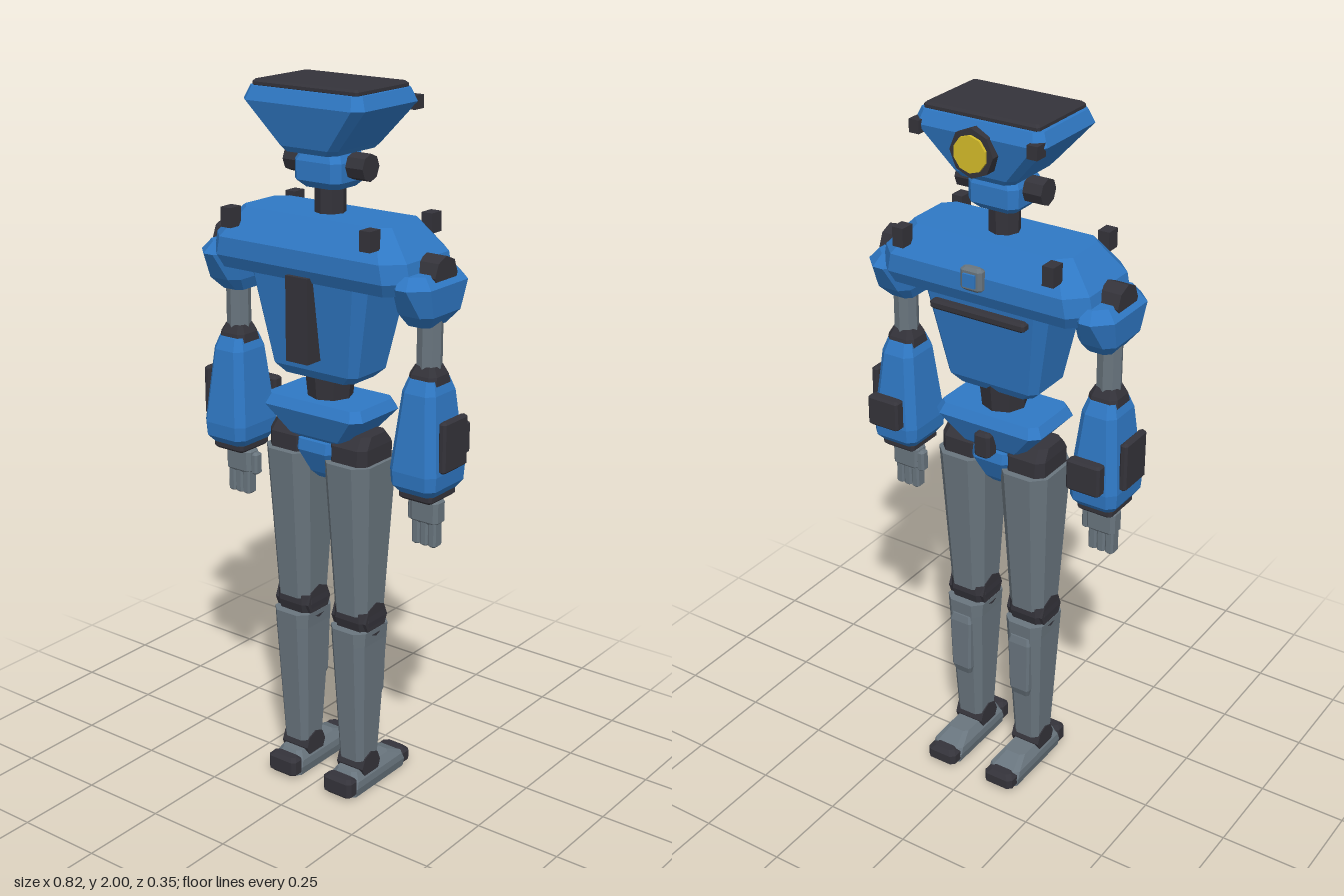
import * as THREE from 'three';

const mat = (name, color) => {
  const m = new THREE.MeshStandardMaterial({ color });
  m.name = name;
  m.flatShading = true;
  return m;
};

// Stacked octagonal sections, each [y, halfWidth, halfDepth, cornerCut, cx, cz]
function loft(sections) {
  const rings = sections.map(([y, a, b, c = 0.02, cx = 0, cz = 0]) =>
    [[a, b - c], [a, -b + c], [a - c, -b], [-a + c, -b], [-a, -b + c], [-a, b - c], [-a + c, b], [a - c, b]]
      .map(([x, z]) => [cx + x, y, cz + z]));
  const out = [];
  const n = 8;
  for (let r = 0; r < rings.length - 1; r++) {
    for (let i = 0; i < n; i++) {
      const j = (i + 1) % n, lo = rings[r], hi = rings[r + 1];
      out.push(...lo[i], ...lo[j], ...hi[j], ...lo[i], ...hi[j], ...hi[i]);
    }
  }
  const bottom = rings[0], top = rings[rings.length - 1];
  for (let i = 1; i < n - 1; i++) {
    out.push(...top[0], ...top[i], ...top[i + 1], ...bottom[0], ...bottom[i + 1], ...bottom[i]);
  }
  const g = new THREE.BufferGeometry();
  g.setAttribute('position', new THREE.Float32BufferAttribute(out, 3));
  g.computeVertexNormals();
  return g;
}

// Box with bevelled edges
const bevelBox = (w, h, d, b) => loft([
  [-h / 2, w / 2 - b, d / 2 - b, b], [-h / 2 + b, w / 2, d / 2, b],
  [h / 2 - b, w / 2, d / 2, b], [h / 2, w / 2 - b, d / 2 - b, b]]);

// Faceted drum lying along x or z
function drum(radius, length, axis, sides = 6) {
  const g = new THREE.CylinderGeometry(radius, radius, length, sides);
  return axis === 'x' ? g.rotateZ(Math.PI / 2) : g.rotateX(Math.PI / 2);
}

export function createModel() {
  const blue = mat('blue armour', 0x2f78c4);
  const dark = mat('dark joints', 0x34333a);
  const grey = mat('grey limbs', 0x69757e);
  const yellow = mat('yellow lens', 0xd4bb2a);

  const model = new THREE.Group();
  model.name = 'robot';
  const C = 0.02; // depth of the body's middle line
  let parent = model;
  const add = (name, geometry, material, x = 0, y = 0, z = 0) => {
    const m = new THREE.Mesh(geometry, material);
    m.name = name;
    m.position.set(x, y, z);
    parent.add(m);
    return m;
  };
  const group = (name) => {
    parent = new THREE.Group();
    parent.name = name;
    model.add(parent);
  };

  // Head
  group('head');
  add('headShell', loft([[1.825, 0.082, 0.1, 0.02, 0, C], [1.84, 0.095, 0.11, 0.02, 0, C],
    [1.95, 0.193, 0.137, 0.025, 0, C], [1.985, 0.178, 0.122, 0.02, 0, C]]), blue);
  add('headTopPlate', bevelBox(0.336, 0.02, 0.224, 0.006), dark, 0, 1.99, C);
  add('lensHousing', drum(0.064, 0.08, 'z', 8), dark, 0, 1.91, -0.09);
  add('lens', drum(0.048, 0.01, 'z', 10), yellow, 0, 1.91, -0.133);
  add('jaw', loft([[1.73, 0.055, 0.05, 0.015, 0, C], [1.75, 0.075, 0.072, 0.02, 0, C],
    [1.80, 0.075, 0.072, 0.02, 0, C], [1.828, 0.06, 0.06, 0.02, 0, C]]), blue);
  for (const s of [1, -1]) {
    add('earDrum', drum(0.036, 0.055, 'x', 8), dark, s * 0.102, 1.79, C);
    add('headSensor', new THREE.BoxGeometry(0.03, 0.035, 0.04), dark, s * 0.172, 1.945, -0.107);
  }
  add('neck', new THREE.CylinderGeometry(0.042, 0.042, 0.1, 8), dark, 0, 1.695, C);

  // Torso
  group('torso');
  add('shoulderYoke', loft([[1.5, 0.3, 0.125, 0.04, 0, C], [1.535, 0.32, 0.143, 0.05, 0, C],
    [1.585, 0.31, 0.143, 0.05, 0, C], [1.662, 0.24, 0.09, 0.03, 0, C]]), blue);
  add('chest', loft([[1.225, 0.115, 0.065, 0.02, 0, 0.025], [1.25, 0.142, 0.08, 0.02, 0, 0.025],
    [1.51, 0.193, 0.12, 0.03, 0, 0.022]]), blue);
  add('frontPanel', new THREE.BoxGeometry(0.072, 0.23, 0.055), dark, 0, 1.4, 0.137);
  add('backVent', bevelBox(0.29, 0.025, 0.03, 0.006), dark, 0, 1.47, -0.102);
  add('backClasp', bevelBox(0.065, 0.065, 0.03, 0.008), grey, 0, 1.58, -0.127);
  add('claspFace', new THREE.BoxGeometry(0.036, 0.036, 0.008), blue, 0, 1.58, -0.144);
  for (const s of [1, -1]) {
    for (const z of [-0.114, 0.154]) {
      add('yokeClip', new THREE.BoxGeometry(0.033, 0.053, 0.043), dark, s * 0.226, 1.642, z);
    }
  }
  add('waist', new THREE.CylinderGeometry(0.07, 0.06, 0.1, 8), dark, 0, 1.195, C);

  // Pelvis
  group('pelvis');
  add('pelvisShell', loft([[1.045, 0.08, 0.06, 0.02, 0, C], [1.06, 0.1, 0.075, 0.02, 0, C],
    [1.135, 0.167, 0.105, 0.025, 0, C], [1.163, 0.152, 0.09, 0.02, 0, C]]), blue);
  add('crotch', loft([[0.937, 0.02, 0.04, 0.01, 0, C], [0.955, 0.035, 0.055, 0.01, 0, C],
    [1.02, 0.06, 0.085, 0.015, 0, C], [1.05, 0.06, 0.08, 0.015, 0, C]]), blue);
  add('backLatch', bevelBox(0.05, 0.075, 0.045, 0.008), dark, 0, 1.08, -0.075);

  for (const s of [1, -1]) {
    const side = s > 0 ? 'left' : 'right';

    // Arm
    group(side + 'Arm');
    const A = s * 0.32;
    add('shoulderPad', loft([[1.415, 0.036, 0.05, 0.015, s * 0.308, C], [1.45, 0.056, 0.085, 0.025, s * 0.315, C],
      [1.525, 0.061, 0.127, 0.045, s * 0.316, C], [1.555, 0.045, 0.1, 0.03, s * 0.306, C]]), blue);
    add('shoulderDisc', drum(0.05, 0.06, 'x', 8), dark, s * 0.336, 1.548, C);
    add('upperArm', new THREE.CylinderGeometry(0.034, 0.034, 0.17, 8), grey, A, 1.36, C);
    add('elbow', loft([[1.25, 0.046, 0.05, 0.015, A, C], [1.285, 0.042, 0.042, 0.015, A, C],
      [1.308, 0.03, 0.03, 0.01, A, C]]), dark);
    add('forearm', loft([[0.968, 0.055, 0.065, 0.015, A, C], [0.99, 0.07, 0.085, 0.02, A, C],
      [1.03, 0.073, 0.088, 0.022, A, C], [1.24, 0.052, 0.065, 0.02, A, C], [1.275, 0.04, 0.05, 0.015, A, C]]), blue);
    add('outerPlate', bevelBox(0.022, 0.14, 0.108, 0.006), dark, s * 0.398, 1.108, C);
    add('backPlate', bevelBox(0.1, 0.09, 0.035, 0.006), dark, A, 1.087, -0.089);
    add('wrist', bevelBox(0.106, 0.028, 0.12, 0.007), dark, A, 0.96, C);
    add('palm', bevelBox(0.088, 0.075, 0.05, 0.01), grey, A, 0.907, 0.016);
    for (const i of [-1, 0, 1]) {
      add('finger', bevelBox(0.025, 0.075, 0.036, 0.005), grey, A + i * 0.026, 0.845, 0.018);
    }
    add('thumb', bevelBox(0.024, 0.065, 0.03, 0.006), grey, s * 0.273, 0.9, 0.012);

    // Leg
    group(side + 'Leg');
    const L = s * 0.1;
    add('hip', loft([[0.99, 0.062, 0.075, 0.02, s * 0.103, C], [1.05, 0.062, 0.075, 0.02, s * 0.103, C],
      [1.082, 0.055, 0.05, 0.02, s * 0.105, C]]), dark);
    add('thigh', loft([[0.56, 0.056, 0.062, 0.025, L, C], [1.005, 0.076, 0.095, 0.035, L, C]]), grey);
    add('knee', drum(0.05, 0.118, 'x', 8), dark, L, 0.54, C);
    add('kneeBand', loft([[0.51, 0.058, 0.05, 0.02, L, C], [0.54, 0.06, 0.058, 0.02, L, C],
      [0.575, 0.058, 0.055, 0.02, L, C]]), dark);
    add('shin', loft([[0.1, 0.042, 0.047, 0.016, L, C], [0.47, 0.057, 0.073, 0.022, L, C],
      [0.513, 0.06, 0.076, 0.025, L, C]]), grey);
    add('calfPlate', loft([[0.265, 0.025, 0.012, 0.005, L, -0.038], [0.29, 0.032, 0.02, 0.006, L, -0.04],
      [0.45, 0.036, 0.02, 0.006, L, -0.043], [0.472, 0.03, 0.013, 0.005, L, -0.045]]), grey);
    add('ankle', drum(0.042, 0.092, 'x', 8), dark, L, 0.078, C);
    add('foot', loft([[0.004, 0.046, 0.125, 0.012, L, -0.022], [0.03, 0.051, 0.128, 0.015, L, -0.022],
      [0.05, 0.049, 0.12, 0.015, L, -0.02], [0.074, 0.034, 0.085, 0.012, L, 0]]), grey);
    add('toeCap', bevelBox(0.094, 0.052, 0.05, 0.012), dark, L, 0.028, -0.149);
    add('heelCap', bevelBox(0.098, 0.06, 0.045, 0.01), dark, L, 0.037, 0.106);
  }
  return model;
}
